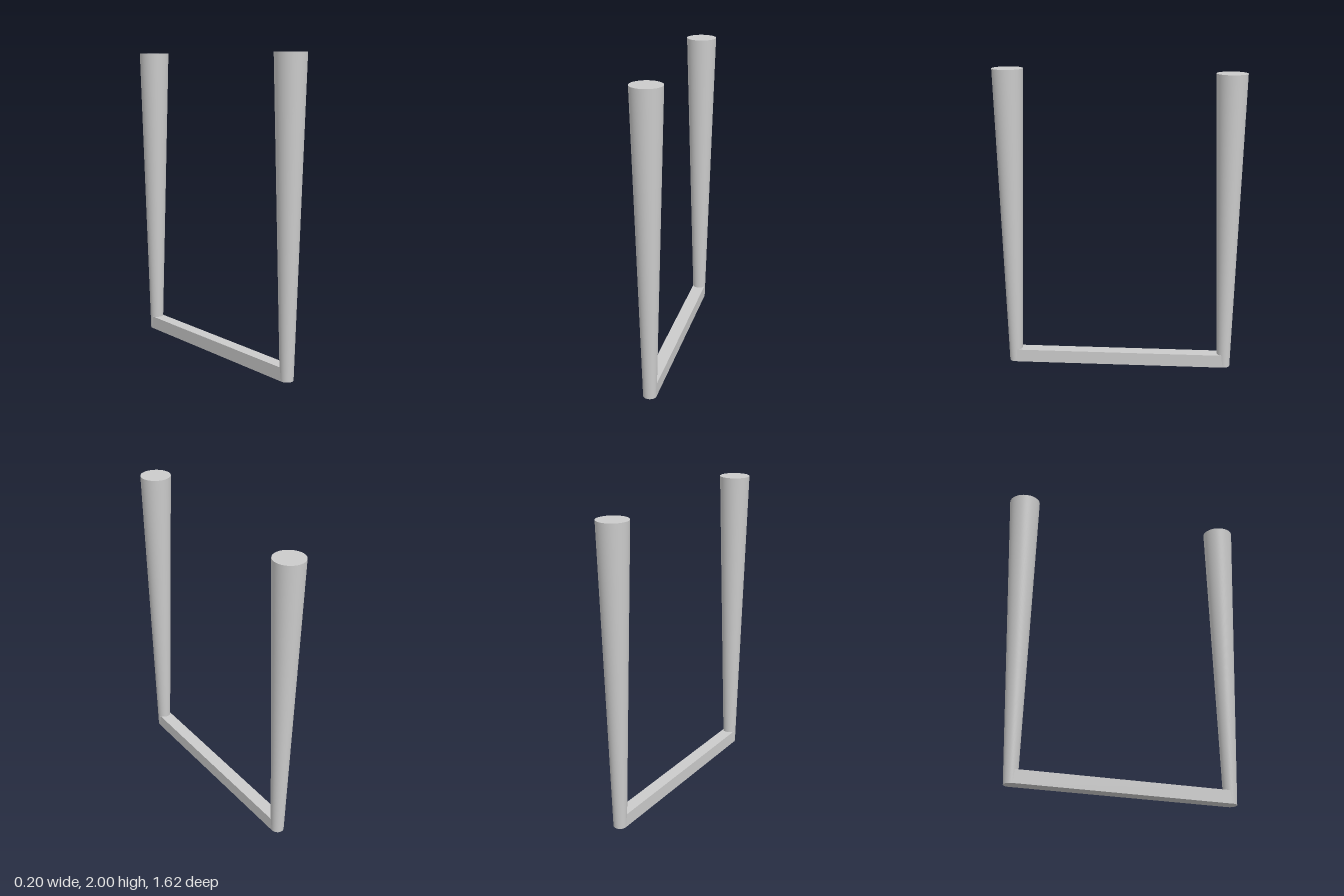
import * as THREE from 'three';

export function createModel() {
  const group = new THREE.Group();
  const material = new THREE.MeshStandardMaterial({ color: 0xcccccc });
  const footRadius = 0.043, topRadius = 0.1, legZ = 0.711;

  const add = (name, geometry, y, z) => {
    const mesh = new THREE.Mesh(geometry, material);
    mesh.name = name;
    mesh.position.set(0, y, z);
    group.add(mesh);
  };

  // Tapered round legs, the back one slightly shorter
  const addLeg = (name, height, z) =>
    add(name, new THREE.CylinderGeometry(topRadius, footRadius, height, 64), height / 2, z);
  addLeg('frontLeg', 2, legZ);
  addLeg('backLeg', 1.98, -legZ);

  // Square floor bar running into the feet of both legs
  add('floorBar', new THREE.BoxGeometry(footRadius * 2, 0.087, legZ * 2), 0.0435, 0);

  return group;
}
